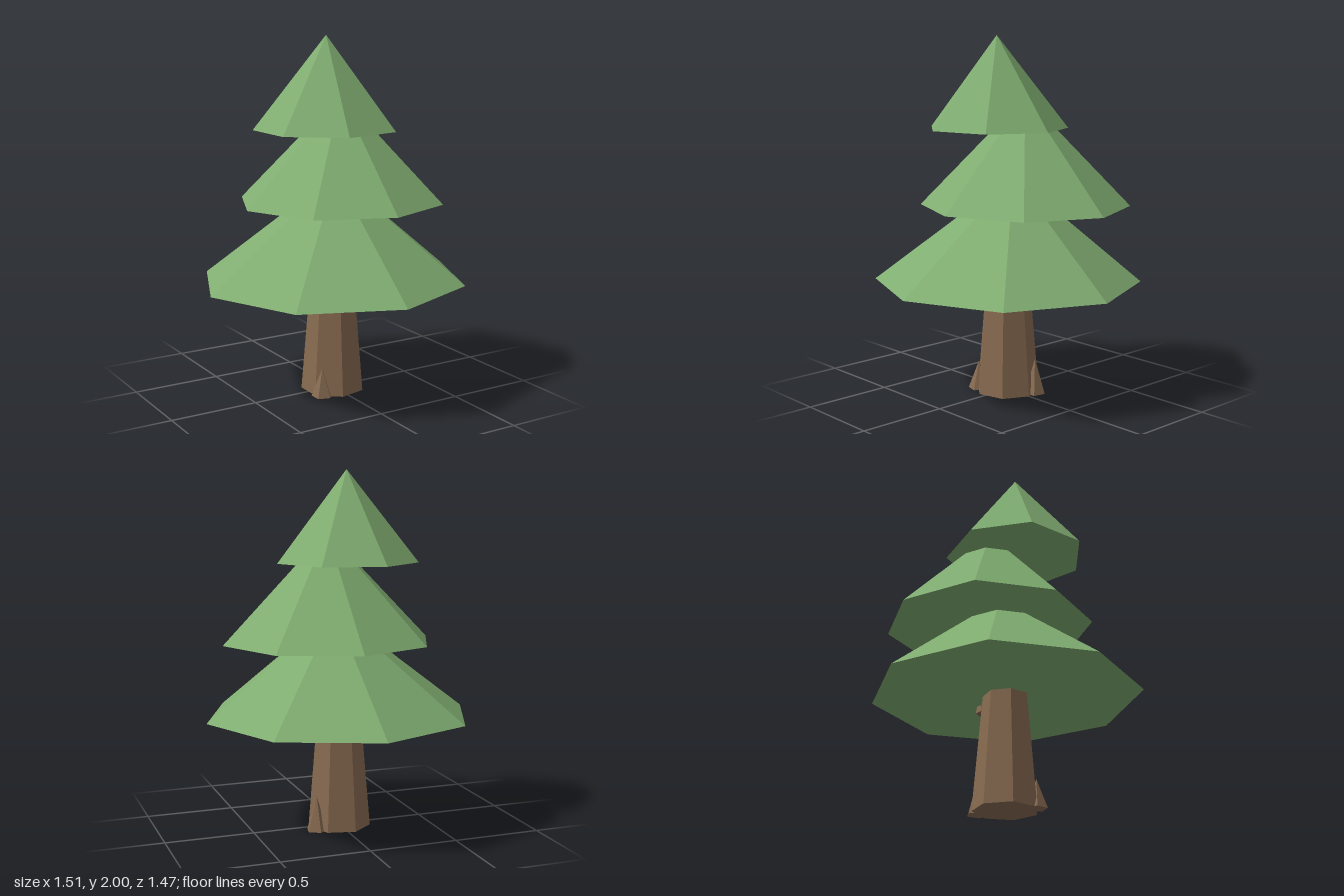
import * as THREE from 'three';

export function createModel() {
  const group = new THREE.Group();
  const foliage = new THREE.MeshStandardMaterial({ color: 0x80ad71, flatShading: true });
  foliage.name = 'foliage green';
  const bark = new THREE.MeshStandardMaterial({ color: 0x866a50, flatShading: true });
  bark.name = 'bark brown';

  // Tapered prism standing on y, with its first corner turned to the given angle from +x toward +z
  function taper(name, material, { top = 0, bottom, height, sides, x = 0, y = 0, z = 0, angle = 0, depth = 1, lean = [0, 0] }) {
    const geometry = new THREE.CylinderGeometry(top, bottom, height, sides);
    geometry.rotateY(Math.PI / 2 - angle);
    geometry.translate(0, height / 2, 0);
    geometry.scale(1, 1, depth);
    // Slide the top sideways
    const p = geometry.attributes.position;
    for (let i = 0; i < p.count; i++) {
      const t = p.getY(i) / height;
      p.setX(i, p.getX(i) + lean[0] * t);
      p.setZ(i, p.getZ(i) + lean[1] * t);
    }
    geometry.computeVertexNormals();
    const mesh = new THREE.Mesh(geometry, material);
    mesh.name = name;
    mesh.position.set(x, y, z);
    group.add(mesh);
  }

  // Trunk, running up inside the lowest tier
  taper('trunk', bark, { top: 0.116, bottom: 0.18, height: 0.76, sides: 7 });

  // Root flares at the foot of the trunk
  const roots = [
    { name: 'leftRoot', x: 0.155, z: -0.07, height: 0.2 },
    { name: 'rightRoot', x: -0.13, z: 0.1, height: 0.16 },
  ];
  for (const { name, x, z, height } of roots) {
    taper(name, bark, { bottom: 0.06, height, sides: 5, x, z, angle: Math.atan2(z, x) });
  }

  // Short branch stub peeking out below the foliage
  taper('branchStub', bark, { top: 0.03, bottom: 0.046, height: 0.1, sides: 6, x: 0.198, y: 0.6 });

  // Three foliage tiers
  taper('lowerFoliage', foliage, { bottom: 0.757, height: 0.595, sides: 8, y: 0.64, depth: 0.973, lean: [0.03, -0.02] });
  taper('middleFoliage', foliage, { bottom: 0.59, height: 0.6, sides: 8, x: 0.085, y: 1.07, z: -0.055, depth: 0.97 });
  taper('upperFoliage', foliage, { bottom: 0.402, height: 0.508, sides: 7, x: -0.057, y: 1.492, z: 0.025, depth: 0.975 });

  return group;
}
